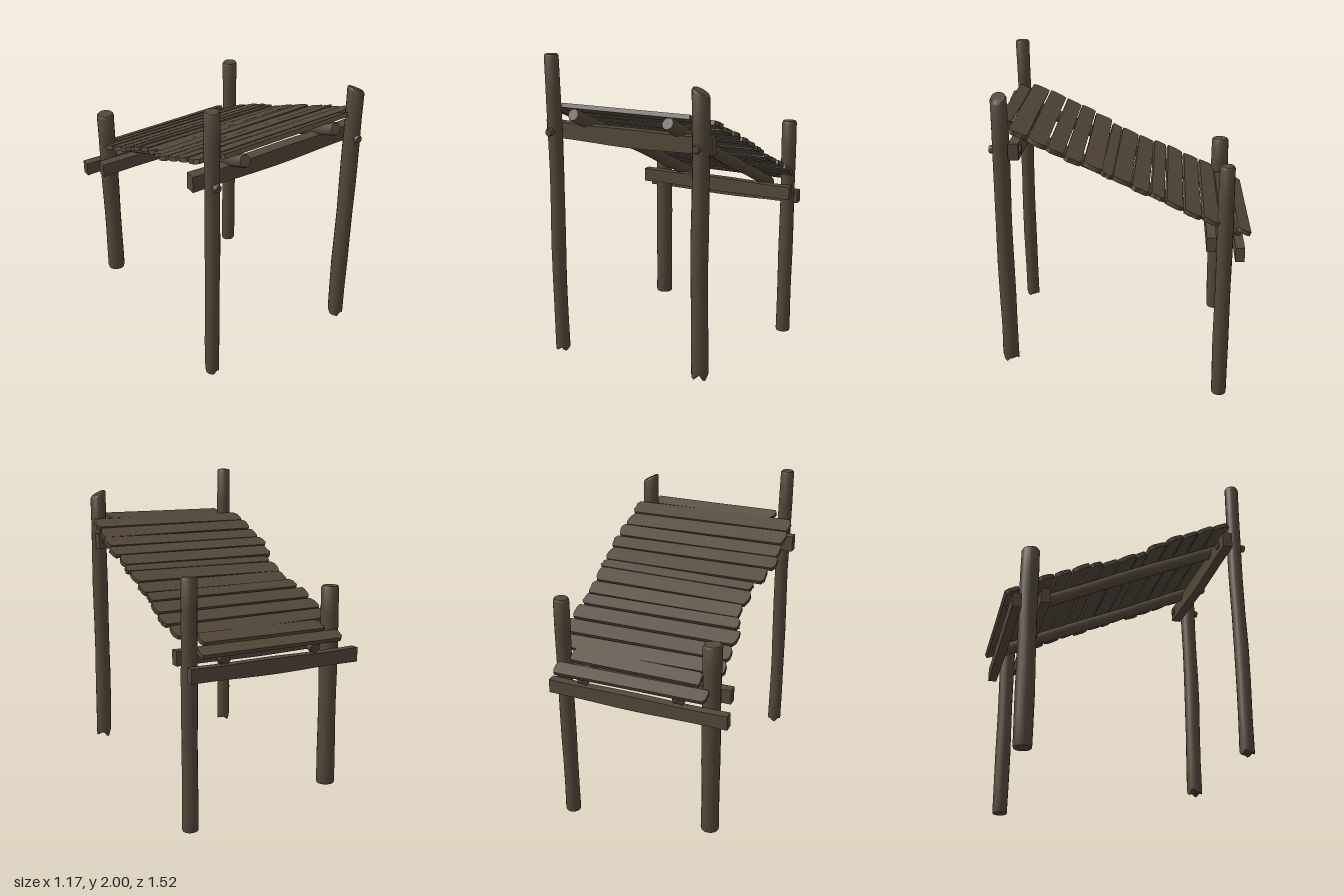
import * as THREE from 'three';
import { toCreasedNormals } from 'three/addons/utils/BufferGeometryUtils.js';

const wood = new THREE.MeshStandardMaterial({ color: 0x53483a });
wood.name = 'weathered wood';

// small seeded generator, returns -1..1
let seed = 7;
const jitter = () => {
  seed = (seed * 16807) % 2147483647;
  return (seed / 2147483647) * 2 - 1;
};

function addMesh(group, name, geometry) {
  const mesh = new THREE.Mesh(geometry, wood);
  mesh.name = name;
  group.add(mesh);
  return mesh;
}

// Round log between two points: slightly wavy, with optional ragged or slanted ends
function addLog(group, name, from, to, r, { ragged = 0, slant = 0, wave = 0.003, bevel = 0.012 } = {}) {
  const a = new THREE.Vector3(...from), b = new THREE.Vector3(...to);
  const axis = b.clone().sub(a), length = axis.length();
  const profile = [[0, 0], [r * 0.96, 0], [r, bevel]];
  for (let i = 1; i < 8; i++) profile.push([r, (length * i) / 8]);
  profile.push([r, length - bevel], [r * 0.86, length], [0, length]);
  const geo = new THREE.LatheGeometry(profile.map(p => new THREE.Vector2(...p)), 16);
  const p = geo.attributes.position;
  const phase = jitter() * 3;
  for (let i = 0; i < p.count; i++) {
    const x = p.getX(i), y = p.getY(i), z = p.getZ(i);
    const edge = Math.hypot(x, z) / r, t = Math.atan2(x, z);
    let dy = 0;
    if (y < 0.02) dy = ragged * edge * (0.6 * Math.sin(3 * t + 1) + 0.4 * Math.sin(5 * t));
    if (y > length - 0.02) dy = -slant * x / r;
    const k = 1 + 0.03 * Math.sin(y * 9 + 2 * t + phase);
    p.setXYZ(i, x * k + wave * Math.sin(y * 4 + phase), y + dy, z * k + wave * Math.cos(y * 5 + phase));
  }
  const mesh = addMesh(group, name, toCreasedNormals(geo, 0.7));
  mesh.position.copy(a);
  mesh.quaternion.setFromUnitVectors(new THREE.Vector3(0, 1, 0), axis.normalize());
}

// Squared cross beam with a gentle sag
function addBeam(group, name, x0, x1, yLeft, yRight, z, height, depth, sag) {
  const geo = new THREE.BoxGeometry(x1 - x0, height, depth, 10, 1, 1);
  const p = geo.attributes.position;
  for (let i = 0; i < p.count; i++) {
    const t = p.getX(i) / (x1 - x0) + 0.5;
    p.setY(i, p.getY(i) * (1 - 0.06 * Math.sin(t * 9)) - sag * Math.sin(Math.PI * t) + yLeft + (yRight - yLeft) * t);
  }
  const mesh = addMesh(group, name, toCreasedNormals(geo, 0.5));
  mesh.position.set((x0 + x1) / 2, 0, z);
}

const SLOPE = 0.455;
const ANGLE = Math.atan(SLOPE);

// Rough-cut plank with uneven ends, laid on the slope
function addPlank(group, name, x0, x1, z0, z1) {
  const half = (z1 - z0) / 2 / Math.cos(ANGLE), steps = 4;
  const shape = new THREE.Shape();
  const cutL = jitter() * 0.018, cutR = jitter() * 0.018;
  // right end, then left end, with corners nicked inwards
  for (let i = 0; i <= steps; i++) {
    const v = (i / steps) * 2 - 1;
    const nick = Math.abs(v) === 1 ? 0.018 : 0.005 + 0.005 * jitter();
    shape[i ? 'lineTo' : 'moveTo'](x1 - nick + cutR * v * 0.6, v * half);
  }
  shape.lineTo((x0 + x1) / 2, half * (1 + 0.04 * jitter()));
  for (let i = steps; i >= 0; i--) {
    const v = (i / steps) * 2 - 1;
    const nick = Math.abs(v) === 1 ? 0.018 : 0.005 + 0.005 * jitter();
    shape.lineTo(x0 + nick + cutL * v * 0.6, v * half);
  }
  shape.lineTo((x0 + x1) / 2, -half * (1 + 0.04 * jitter()));
  const thick = 0.026;
  const geo = new THREE.ExtrudeGeometry(shape, { depth: thick, bevelEnabled: false });
  geo.translate(0, 0, -thick / 2);
  geo.rotateX(-Math.PI / 2);
  const mesh = addMesh(group, name, geo);
  const z = (z0 + z1) / 2;
  mesh.position.set(0, 1.402 + SLOPE * z + 0.003 * jitter(), z);
  mesh.rotation.set(-ANGLE + 0.03 * jitter(), 0.008 * jitter(), 0.006 * jitter());
}

export function createModel() {
  seed = 7;
  const model = new THREE.Group();
  model.name = 'slatted rack';

  // Four uneven posts
  addLog(model, 'frontRightPost', [-0.46, 0.19, 0.68], [-0.46, 2, 0.68], 0.043, { ragged: 0.015 });
  addLog(model, 'frontLeftPost', [0.487, 0.22, 0.68], [0.485, 1.86, 0.68], 0.049, { ragged: 0.025, slant: 0.025 });
  addLog(model, 'backRightPost', [-0.457, 0.12, -0.618], [-0.457, 1.36, -0.618], 0.055, { wave: 0.001 });
  addLog(model, 'backLeftPost', [0.488, 0, -0.612], [0.488, 1.48, -0.612], 0.047, { wave: 0.001 });

  // Cross beams fixed to the posts
  addBeam(model, 'frontBeam', -0.55, 0.53, 1.555, 1.555, 0.602, 0.1, 0.06, 0.008);
  addBeam(model, 'backInnerBeam', -0.55, 0.54, 1.015, 1.015, -0.533, 0.09, 0.056, 0);
  addBeam(model, 'backOuterBeam', -0.59, 0.535, 0.945, 0.95, -0.702, 0.088, 0.054, 0.004);

  // Pegs through the front posts
  for (const x of [-0.46, 0.487]) {
    addLog(model, 'peg', [x, 1.558, 0.56], [x, 1.558, 0.745], 0.023, { wave: 0, bevel: 0.006 });
  }

  // Sloping round rails
  for (const x of [-0.287, 0.312]) {
    const at = z => [x, 1.343 + SLOPE * z, z];
    addLog(model, 'rail', at(-0.715), at(0.735), 0.038, { ragged: 0.008 });
  }

  // Planks: x start, x end, z start, z end
  const planks = [
    [-0.47, 0.495, -0.757, -0.68], [-0.4, 0.435, -0.658, -0.575], [-0.505, 0.555, -0.57, -0.48],
    [-0.5, 0.577, -0.466, -0.373], [-0.505, 0.57, -0.36, -0.266], [-0.475, 0.555, -0.252, -0.178],
    [-0.457, 0.56, -0.166, -0.073], [-0.468, 0.56, -0.066, 0.036], [-0.457, 0.567, 0.042, 0.102],
    [-0.512, 0.56, 0.106, 0.21], [-0.545, 0.58, 0.221, 0.31], [-0.537, 0.572, 0.317, 0.408],
    [-0.535, 0.557, 0.417, 0.518], [-0.53, 0.557, 0.525, 0.625], [-0.4, 0.435, 0.632, 0.698],
  ];
  const deck = new THREE.Group();
  deck.name = 'plankDeck';
  planks.forEach((p, i) => addPlank(deck, `plank${i + 1}`, ...p));
  model.add(deck);

  return model;
}
